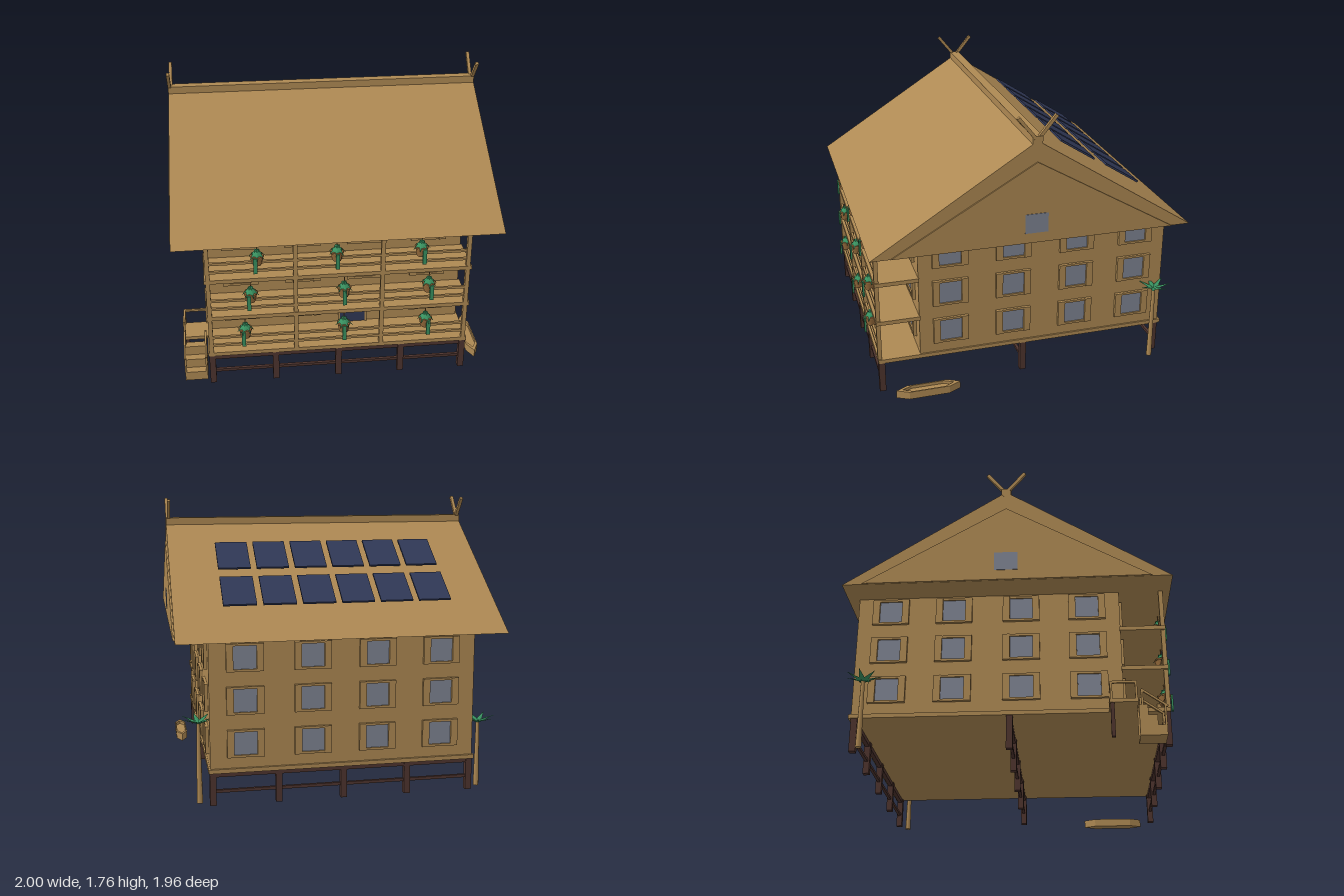
import * as THREE from 'three';

const mat = (name, color) => Object.assign(new THREE.MeshStandardMaterial({ color }), { name });

export function createModel() {
  const wood = mat('wood', 0xae8953);
  const darkWood = mat('dark wood', 0x4e342e);
  const glass = mat('window glass', 0x7f8492);
  const navy = mat('navy panel', 0x303856);
  const leaf = mat('leaf green', 0x38905f);
  const pot = mat('pot brown', 0x976c3c);
  const model = new THREE.Group();

  const group = (name, parent = model) => {
    const g = new THREE.Group();
    g.name = name;
    parent.add(g);
    return g;
  };
  const add = (name, geo, material, x, y, z, parent = model) => {
    const m = new THREE.Mesh(geo, material);
    m.name = name;
    m.position.set(x, y, z);
    parent.add(m);
    return m;
  };
  const box = (name, w, h, d, material, x, y, z, parent) =>
    add(name, new THREE.BoxGeometry(w, h, d), material, x, y, z, parent);
  // Square bar between two points
  const bar = (name, a, b, t, material, parent) => {
    const p = new THREE.Vector3(...a), q = new THREE.Vector3(...b);
    const m = box(name, t, t, p.distanceTo(q), material, 0, 0, 0, parent);
    m.position.copy(p).add(q).multiplyScalar(0.5);
    m.lookAt(q);
    return m;
  };
  // Triangular prism lying along x
  const prism = (name, halfZ, y0, y1, width, x) => {
    const s = new THREE.Shape([[-halfZ, y0], [halfZ, y0], [0, y1]].map(p => new THREE.Vector2(...p)));
    const g = new THREE.ExtrudeGeometry(s, { depth: width, bevelEnabled: false });
    g.translate(0, 0, -width / 2).rotateY(Math.PI / 2);
    return add(name, g, wood, x, 0, 0);
  };

  // House body and floors
  box('houseBody', 1.6, 0.78, 1.58, wood, 0, 0.6, -0.12);
  box('baseFloor', 1.62, 0.025, 1.855, wood, 0, 0.2125, 0.003);
  for (const y of [0.477, 0.735]) box('balconyFloor', 1.62, 0.025, 0.27, wood, 0, y, 0.8);

  // Balcony posts and rails
  for (const x of [-0.787, -0.264, 0.264, 0.787])
    box('balconyPost', 0.026, 0.77, 0.026, wood, x, 0.605, 0.92);
  for (const floor of [0.225, 0.487, 0.745])
    for (const h of [0.05, 0.107])
      box('balconyRail', 1.57, 0.016, 0.014, wood, 0, floor + h, 0.92);

  // Stilts with their cross beams
  for (const z of [0.91, 0.01, -0.89]) {
    for (const x of [-0.785, -0.393, 0, 0.393, 0.785])
      box('stilt', 0.038, 0.2, 0.038, darkWood, x, 0.1, z);
    box('lowerBeam', 1.57, 0.018, 0.018, darkWood, 0, 0.083, z);
    box('upperBeam', 1.57, 0.026, 0.026, darkWood, 0, 0.185, z);
  }

  // Roof, gables, ridge and crossed finials
  prism('roof', 0.98, 0.985, 1.61, 1.976, 0);
  box('ridgeCap', 1.976, 0.045, 0.06, wood, 0, 1.613, 0);
  for (const s of [-1, 1]) {
    prism('gablePanel', 0.86, 0.987, 1.485, 0.012, s * 0.991);
    box('gableWindow', 0.006, 0.12, 0.14, glass, s * 0.997, 1.11, 0);
    for (const k of [-1, 1])
      bar('finial', [s * (0.975 + k * 0.004), 1.585, -k * 0.02], [s * (0.975 + k * 0.004), 1.75, k * 0.115], 0.02, wood);
  }

  // Solar panels raised above the back slope
  const slope = Math.atan2(0.625, 0.98);
  for (const [y, z] of [[1.418, -0.355], [1.236, -0.65]])
    for (let i = 0; i < 6; i++)
      box('solarPanel', 0.2, 0.012, 0.258, navy, (i - 2.5) * 0.238, y, z).rotation.x = -slope;

  // Shuttered windows, built facing +z and turned to each wall
  const makeWindow = (x, y, z, turn) => {
    const w = group('window');
    box('pane', 0.135, 0.14, 0.008, glass, 0, 0, 0.003, w);
    for (const s of [-1, 1]) {
      box('shutter', 0.042, 0.165, 0.022, wood, s * 0.089, 0, 0.009, w);
      box('frameRail', 0.136, 0.014, 0.018, wood, 0, s * 0.076, 0.007, w);
    }
    w.position.set(x, y, z);
    w.rotation.y = turn;
  };
  [0.375, 0.632, 0.887].forEach((y, level) => {
    for (const x of [-0.59, -0.2, 0.19, 0.59]) {
      if (level > 0 || x !== 0.19) makeWindow(x, y, 0.67, 0);
      makeWindow(x, y, -0.91, Math.PI);
    }
    for (const z of [0.475, 0.08, -0.325, -0.71]) {
      makeWindow(0.8, y, z, Math.PI / 2);
      makeWindow(-0.8, y, z, -Math.PI / 2);
    }
  });

  // Front door
  box('door', 0.16, 0.22, 0.01, navy, 0.118, 0.335, 0.674);
  for (const x of [0.032, 0.204]) box('doorFrame', 0.012, 0.23, 0.016, wood, x, 0.34, 0.676);
  box('doorFrame', 0.184, 0.012, 0.016, wood, 0.118, 0.452, 0.676);

  // Entrance stairs, landing and handrails
  const stairs = group('entranceStairs');
  [0.06, 0.12, 0.182].forEach((h, i) =>
    box('step', 0.14, h, 0.05, wood, -0.89, h / 2, 0.865 - i * 0.05, stairs));
  box('landing', 0.16, 0.022, 0.16, wood, -0.88, 0.211, 0.66, stairs);
  box('landingStilt', 0.022, 0.2, 0.022, darkWood, -0.945, 0.1, 0.595, stairs);
  for (const x of [-0.955, -0.825]) {
    bar('handrail', [x, 0.17, 0.9], [x, 0.275, 0.755], 0.012, wood, stairs);
    bar('handrailPost', [x, 0.06, 0.885], [x, 0.18, 0.885], 0.012, wood, stairs);
    bar('handrailPost', [x, 0.18, 0.76], [x, 0.275, 0.76], 0.012, wood, stairs);
  }
  bar('landingRail', [-0.955, 0.322, 0.735], [-0.955, 0.322, 0.585], 0.013, wood, stairs);
  bar('landingRail', [-0.955, 0.322, 0.59], [-0.81, 0.322, 0.59], 0.013, wood, stairs);
  for (const [x, z] of [[-0.955, 0.73], [-0.955, 0.59], [-0.815, 0.59]])
    box('landingPost', 0.013, 0.11, 0.013, wood, x, 0.272, z, stairs);

  // Ring of flat pointed leaves; pitch tips them up or down
  const leafRing = (parent, count, length, width, pitch, y, turn = 0) => {
    for (let i = 0; i < count; i++) {
      const g = new THREE.ConeGeometry(width / 2, length, 4).toNonIndexed();
      g.computeVertexNormals();
      g.scale(1, 1, 0.25).translate(0, length / 2, 0);
      g.rotateX(Math.PI / 2 - pitch).rotateY((i / count) * Math.PI * 2 + turn);
      add('leaf', g, leaf, 0, y, 0, parent);
    }
  };

  // Hanging plants along the balcony front
  const plants = [[-0.49, 0.88], [-0.015, 0.88], [0.495, 0.88], [-0.535, 0.625], [0.03, 0.625],
    [0.55, 0.625], [-0.575, 0.37], [0.03, 0.37], [0.54, 0.37]];
  plants.forEach(([x, y], i) => {
    const p = group('hangingPlant');
    add('pot', new THREE.CylinderGeometry(0.04, 0.028, 0.06, 8), pot, 0, -0.01, 0, p);
    add('potRim', new THREE.CylinderGeometry(0.043, 0.043, 0.01, 8), pot, 0, 0.018, 0, p);
    add('cord', new THREE.CylinderGeometry(0.003, 0.003, 0.07, 6), pot, 0, 0.06, 0, p);
    add('crown', new THREE.ConeGeometry(0.035, 0.05, 6), leaf, 0, 0.045, 0, p);
    leafRing(p, 7, 0.078, 0.034, -0.75, 0.058, i * 0.7);
    const side = ((i % 3) - 1) * 0.012;
    box('trailingVine', 0.024, 0.1, 0.012, leaf, side, -0.03, 0.042, p);
    p.position.set(x, y, 0.925);
  });

  // Palms at the back corners
  for (const [x, h] of [[0.86, 0.49], [-0.86, 0.41]]) {
    const palm = group('palm');
    add('trunk', new THREE.CylinderGeometry(0.011, 0.018, h, 8), wood, 0, h / 2, 0, palm);
    leafRing(palm, 7, 0.115, 0.045, 0.32, h, 0.2);
    palm.position.set(x, 0, -0.84);
  }

  // Canoe with pointed ends and a shallow hollow
  const outline = s => [[0, 0.2], [-0.037, 0.125], [-0.037, -0.125], [0, -0.2], [0.037, -0.125], [0.037, 0.125]]
    .map(([x, z]) => new THREE.Vector2(x * s, z * s));
  const hull = new THREE.Shape(outline(1));
  const solid = new THREE.ExtrudeGeometry(hull, { depth: 0.03, bevelEnabled: false }).rotateX(-Math.PI / 2);
  add('canoeHull', solid, wood, 0.898, 0, 0.645);
  hull.holes.push(new THREE.Path(outline(0.8)));
  const rim = new THREE.ExtrudeGeometry(hull, { depth: 0.02, bevelEnabled: false }).rotateX(-Math.PI / 2);
  add('canoeRim', rim, wood, 0.898, 0.03, 0.645);

  return model;
}
